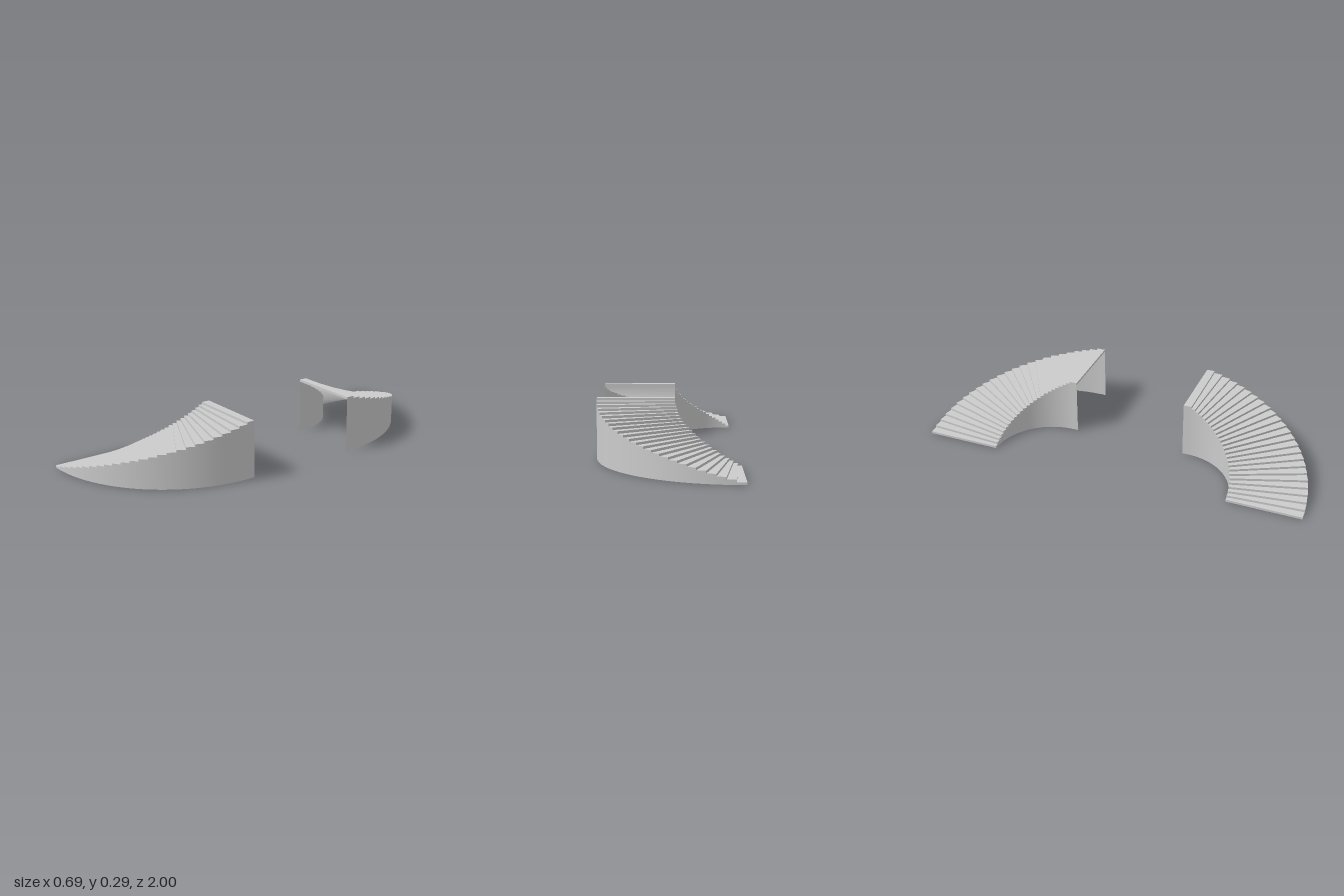
import * as THREE from 'three';

const STEPS = 24;                      // winding steps, followed by one landing
const RISE = 0.29 / (STEPS + 1);
const TURN = Math.PI / 2 / STEPS;
const INNER = 0.298, OUTER = 0.678;
const CX = -0.334, CZ = 0.322;         // centre of the curve
const NOSING = 0.012, LANDING = 0.029;

const material = new THREE.MeshStandardMaterial({ color: 0xcccccc });
const sheet = new THREE.MeshStandardMaterial({ color: 0xcccccc, side: THREE.DoubleSide });

// Plan point [x, z] at radius r on step line k, moved along the walking direction
function plan(k, r, shift = 0) {
  if (k > STEPS) return [CX + r, CZ - LANDING];
  const a = k * TURN;
  return [CX + r * Math.sin(a) + shift * Math.cos(a), CZ + r * Math.cos(a) - shift * Math.sin(a)];
}

// Wedge slab whose front edge overhangs the tread below
function tread(k, side) {
  const corners = [
    plan(k, INNER, -NOSING), plan(k, OUTER, -NOSING), plan(k, OUTER), 
    plan(k + 1, OUTER), plan(k + 1, INNER), plan(k, INNER),
  ];
  const shape = new THREE.Shape(corners.map(([x, z]) => new THREE.Vector2(x, -z * side)));
  const geometry = new THREE.ExtrudeGeometry(shape, { depth: RISE, bevelEnabled: false });
  geometry.rotateX(-Math.PI / 2);
  geometry.translate(0, k * RISE, 0);
  const mesh = new THREE.Mesh(geometry, material);
  mesh.name = k === STEPS ? 'landing' : 'tread';
  return mesh;
}

// Thin curved wall, stepped along its top to meet the treads
function wall(r, side, name) {
  const positions = [], normals = [], index = [];
  for (let k = 1; k <= STEPS; k++) {
    const base = positions.length / 3;
    for (const j of [k, k + 1]) {
      const [x, z] = plan(j, r);
      const a = Math.min(j, STEPS) * TURN;
      for (const y of [0, k * RISE]) {
        positions.push(x, y, z * side);
        normals.push(Math.sin(a), 0, Math.cos(a) * side);
      }
    }
    const quad = side > 0 ? [0, 2, 3, 0, 3, 1] : [0, 3, 2, 0, 1, 3];
    index.push(...quad.map((i) => base + i));
  }
  const geometry = new THREE.BufferGeometry();
  geometry.setAttribute('position', new THREE.Float32BufferAttribute(positions, 3));
  geometry.setAttribute('normal', new THREE.Float32BufferAttribute(normals, 3));
  geometry.setIndex(index);
  const mesh = new THREE.Mesh(geometry, sheet);
  mesh.name = name;
  return mesh;
}

function staircase(side, name) {
  const group = new THREE.Group();
  group.name = name;
  for (let k = 0; k <= STEPS; k++) group.add(tread(k, side));
  group.add(wall(OUTER, side, 'outerWall'), wall(INNER, side, 'innerWall'));
  return group;
}

export function createModel() {
  const model = new THREE.Group();
  model.name = 'curvedStaircases';
  model.add(staircase(1, 'frontStaircase'), staircase(-1, 'backStaircase'));
  return model;
}
